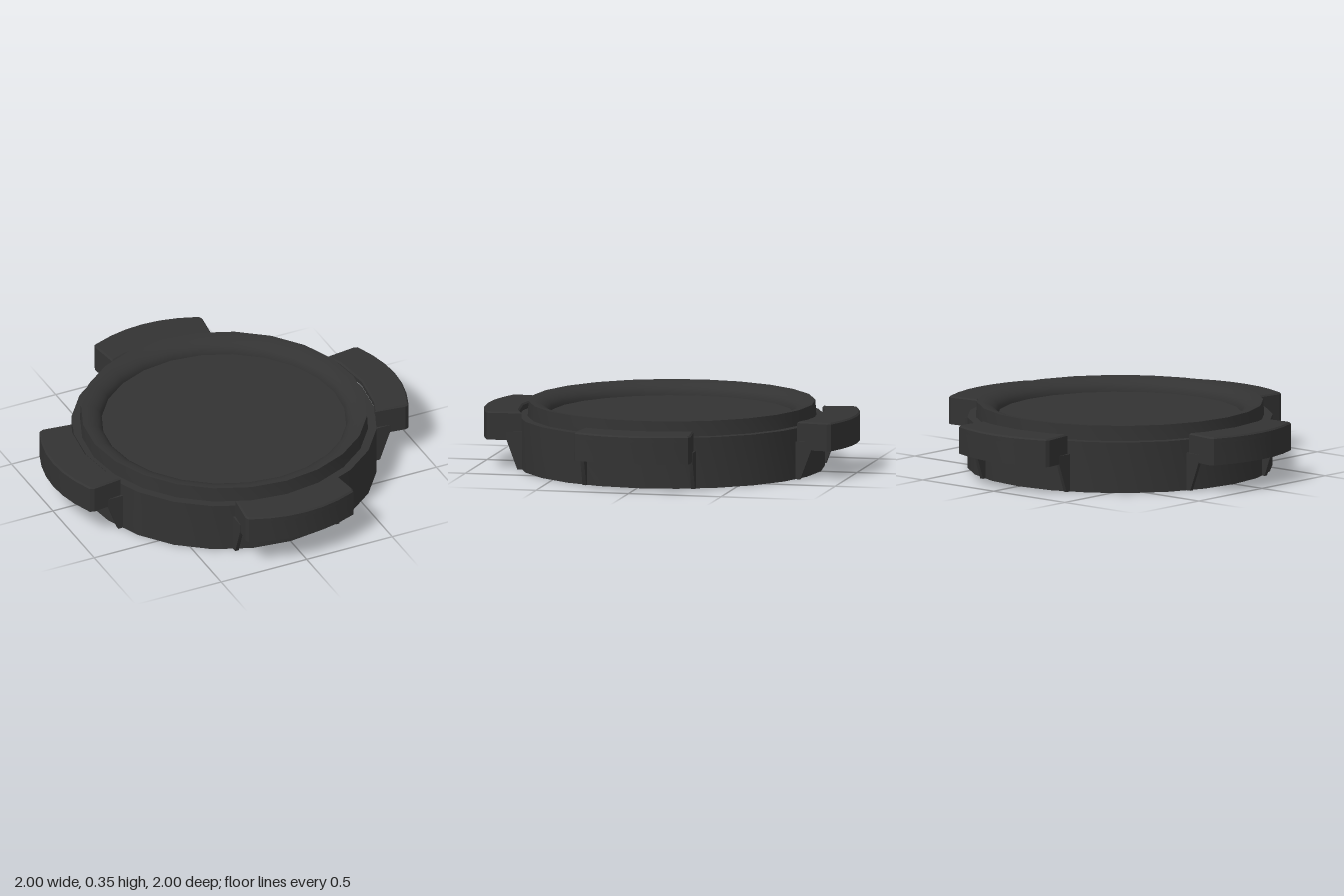
import * as THREE from 'three';
import { toCreasedNormals } from 'three/addons/utils/BufferGeometryUtils.js';

const material = new THREE.MeshStandardMaterial({ color: 0x333333 });

function part(name, geometry) {
  const mesh = new THREE.Mesh(toCreasedNormals(geometry, 0.5), material);
  mesh.name = name;
  return mesh;
}

const outline = (points) => new THREE.Shape(points.map(([x, y]) => new THREE.Vector2(x, y)));

// Mirrors a half outline (x > 0, listed from the far side towards x = 0)
const mirrored = (half) => [...half, ...half.slice(0, -1).reverse().map(([x, y]) => [-x, y])];

// Extrudes a plan outline (x, outward) downwards from the height top
function slab(shape, top, depth, bevel = 0) {
  const geometry = new THREE.ExtrudeGeometry(shape, {
    depth: depth - 2 * bevel, bevelEnabled: bevel > 0, bevelSegments: 1,
    bevelSize: bevel, bevelThickness: bevel, bevelOffset: -bevel,
  });
  return geometry.rotateX(Math.PI / 2).translate(0, top - bevel, 0);
}

function createTab() {
  const tab = new THREE.Group();
  const outer = mirrored([[0.292, 0.745], [0.314, 0.91], [0.305, 0.932], [0.2, 0.97], [0.1, 0.992], [0, 0.999]]);
  const inner = mirrored([[0.265, 0.752], [0.285, 0.905], [0.2, 0.942], [0.1, 0.964], [0, 0.971]]);
  const seat = mirrored([[0.208, 0.777], [0, 0.805]]).reverse();

  // Top plate, its inner edge following the body
  tab.add(part('tabTop', slab(outline([...outer, ...seat]), 0.305, 0.04, 0.008)));

  // Thin skirt around the three free sides, open underneath
  tab.add(part('tabSkirt', slab(outline([...outer, ...inner.reverse()]), 0.29, 0.135)));

  // Tapered ribs running down the body under both ends
  const rib = outline([[0.73, 0], [0.765, 0], [0.825, 0.16], [0.825, 0.2], [0.73, 0.2]]);
  for (const x of [-0.284, 0.304]) {
    const geometry = new THREE.ExtrudeGeometry(rib, { depth: 0.02, bevelEnabled: false });
    tab.add(part('tabRib', geometry.rotateY(-Math.PI / 2).translate(x, 0, 0)));
  }
  return tab;
}

export function createModel() {
  const model = new THREE.Group();
  model.name = 'cap';

  // Body: hollow underside, stepped outside, rounded rim down to a sunken floor
  const profile = [[0, 0.24], [0.715, 0.24], [0.715, 0], [0.805, 0], [0.805, 0.27], [0.76, 0.27], [0.755, 0.35]];
  const steps = 6;
  for (let i = 1; i <= steps; i++) {
    const a = (i / steps) * Math.PI / 2;
    profile.push([0.755 - 0.11 * Math.sin(a), 0.28 + 0.07 * Math.cos(a)]);
  }
  profile.push([0, 0.28]);
  model.add(part('body', new THREE.LatheGeometry(profile.map(([r, y]) => new THREE.Vector2(r, y)), 24)));

  // Four grip tabs
  for (let i = 0; i < 4; i++) {
    const tab = createTab();
    tab.name = 'gripTab' + (i + 1);
    tab.rotation.y = i * Math.PI / 2;
    model.add(tab);
  }
  return model;
}
